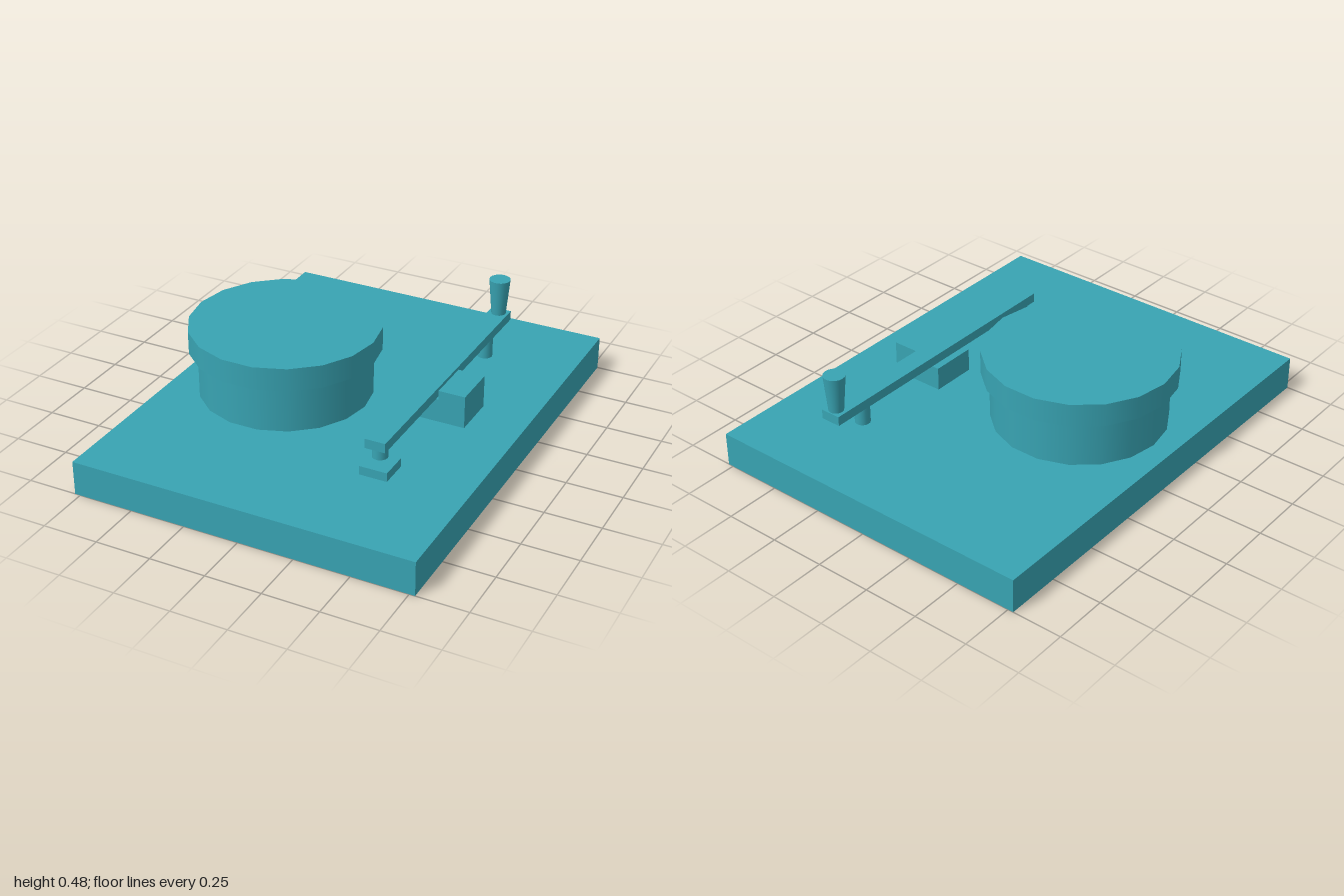
import * as THREE from 'three';

export function createModel() {
  const group = new THREE.Group();
  const material = new THREE.MeshStandardMaterial({ color: 0x38a3b2 });

  const add = (name, geometry) => {
    const mesh = new THREE.Mesh(geometry, material);
    mesh.name = name;
    group.add(mesh);
    return mesh;
  };
  // Box from its minimum and maximum corners
  const box = (name, [x0, y0, z0], [x1, y1, z1]) =>
    add(name, new THREE.BoxGeometry(x1 - x0, y1 - y0, z1 - z0))
      .position.set((x0 + x1) / 2, (y0 + y1) / 2, (z0 + z1) / 2);
  // Upright round part between two heights, with a vertex on the x axis
  const round = (name, x, z, y0, y1, rBottom, rTop = rBottom, sides = 18) =>
    add(name, new THREE.CylinderGeometry(rTop, rBottom, y1 - y0, sides).rotateY(Math.PI / 2))
      .position.set(x, (y0 + y1) / 2, z);

  // Base plate
  box('base', [-0.775, 0, -1], [0.775, 0.155, 1]);

  // Drum with its wider lid
  round('drum', -0.297, 0.055, 0.155, 0.37, 0.385);
  round('drumLid', -0.297, 0.055, 0.37, 0.475, 0.423);

  // Stepped block that carries the lever
  box('pivotStep', [0.298, 0.155, -0.18], [0.42, 0.262, 0.027]);
  box('pivotBlock', [0.42, 0.155, -0.18], [0.542, 0.304, 0.027]);

  // Lever arm with its pins, contact pad and handle
  box('leverArm', [0.322, 0.27, -0.778], [0.415, 0.313, 0.527]);
  round('frontPin', 0.375, 0.49, 0.226, 0.27, 0.034);
  round('rearPin', 0.375, -0.583, 0.17, 0.27, 0.034);
  box('contactPad', [0.31, 0.155, 0.42], [0.436, 0.195, 0.552]);
  round('handle', 0.37, -0.74, 0.313, 0.482, 0.033, 0.048);

  return group;
}
